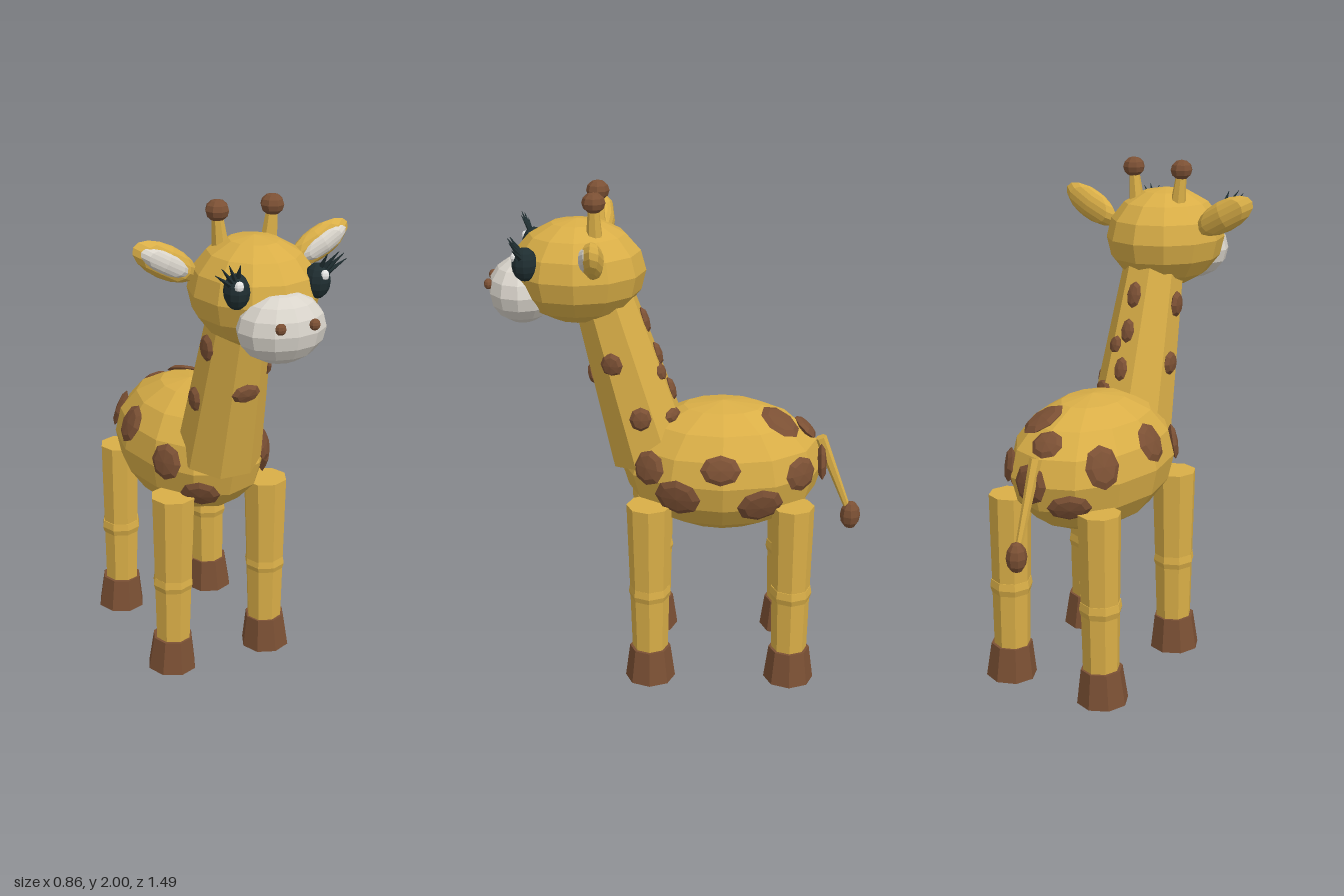
import * as THREE from 'three';

const V = (x, y, z) => new THREE.Vector3(x, y, z);
const UP = V(0, 1, 0);

export function createModel() {
  const model = new THREE.Group();
  model.name = 'giraffe';

  const colour = (name, hex) => {
    const m = new THREE.MeshStandardMaterial({ color: hex });
    m.name = name;
    return m;
  };
  const yellow = colour('yellowCoat', 0xd9ae47);
  const brown = colour('brownPatch', 0x7b5034);
  const cream = colour('creamMuzzle', 0xd9d4cb);
  const dark = colour('darkEye', 0x1f2e31);
  const white = colour('eyeWhite', 0xf0f0ee);

  // Faceted mesh: unshared corners give one normal per face
  const add = (name, geo, mat) => {
    const flat = geo.toNonIndexed();
    flat.computeVertexNormals();
    const mesh = new THREE.Mesh(flat, mat);
    mesh.name = name;
    model.add(mesh);
    return mesh;
  };

  const ball = (name, mat, c, r, w = 12, h = 8) => {
    const mesh = add(name, new THREE.SphereGeometry(1, w, h), mat);
    mesh.position.copy(c);
    mesh.scale.copy(r);
    return mesh;
  };

  // Tapered prism running from a to b
  const rod = (name, mat, a, b, ra, rb, sides = 8, twist = 0) => {
    const d = b.clone().sub(a);
    const geo = new THREE.CylinderGeometry(rb, ra, d.length(), sides).rotateY(twist);
    const mesh = add(name, geo, mat);
    mesh.position.copy(a).add(b).multiplyScalar(0.5);
    mesh.quaternion.setFromUnitVectors(UP, d.normalize());
    return mesh;
  };

  // Flat patch facing along n: half width w, half height h
  const patch = (p, n, w, h) => {
    const mesh = add('patch', new THREE.SphereGeometry(1, 8, 4).rotateX(Math.PI / 2), brown);
    mesh.position.copy(p);
    mesh.lookAt(p.clone().add(n));
    mesh.scale.set(w, h, 0.02);
  };

  // Body
  const bodyC = V(0, 0.875, -0.175), bodyR = V(0.29, 0.268, 0.41);
  ball('body', yellow, bodyC, bodyR);

  // Neck
  const neckA = V(0, 0.92, 0.105), neckB = V(0, 1.6, 0.3);
  rod('neck', yellow, neckA, neckB, 0.17, 0.12, 8, Math.PI / 8);

  // Body patches: x, y, z, half width, half height
  [
    [0.25, 0.83, 0.0, 0.095, 0.08],
    [0.28, 0.955, -0.165, 0.08, 0.06],
    [0.25, 0.8, -0.32, 0.095, 0.08],
    [0.19, 0.905, -0.49, 0.075, 0.07],
    [0.083, 1.09, -0.41, 0.075, 0.09],
    [-0.01, 1.03, -0.52, 0.065, 0.06],
    [0.02, 0.885, -0.58, 0.075, 0.08],
    [-0.12, 0.8, -0.53, 0.085, 0.06],
    [-0.21, 0.95, -0.44, 0.07, 0.085],
    [-0.265, 0.985, -0.175, 0.075, 0.08],
    [-0.225, 0.91, 0.09, 0.07, 0.075],
    [0.2, 0.93, 0.13, 0.075, 0.07],
    [-0.115, 0.785, 0.18, 0.08, 0.07],
  ].forEach(([x, y, z, w, h]) => {
    const d = V(x, y, z).sub(bodyC).divide(bodyR).normalize();
    patch(d.clone().multiply(bodyR).multiplyScalar(0.985).add(bodyC), d.divide(bodyR).normalize(), w, h);
  });

  // Neck patches: height, angle round from the front, half width, half height
  const axis = neckB.clone().sub(neckA).normalize();
  const fore = V(1, 0, 0).cross(axis);
  [
    [1.29, 0, 0.06, 0.042],
    [1.34, 75, 0.045, 0.05],
    [1.11, 95, 0.045, 0.05],
    [1.07, 150, 0.05, 0.03],
    [1.44, 180, 0.032, 0.055],
    [1.3, 180, 0.03, 0.05],
    [1.24, 160, 0.03, 0.04],
    [1.15, 180, 0.03, 0.05],
    [1.43, -85, 0.045, 0.055],
    [1.2, -90, 0.045, 0.05],
  ].forEach(([y, deg, w, h]) => {
    const t = (y - neckA.y) / (neckB.y - neckA.y), a = deg * Math.PI / 180;
    const out = V(Math.sin(a), 0, 0).addScaledVector(fore, Math.cos(a));
    const r = (0.17 - 0.05 * t) * 0.94;
    patch(neckA.clone().lerp(neckB, t).addScaledVector(out, r), out, w, h);
  });

  // Head, muzzle
  ball('head', yellow, V(0, 1.676, 0.388), V(0.236, 0.202, 0.262));
  ball('muzzle', cream, V(0, 1.6, 0.605), V(0.168, 0.13, 0.133));

  for (const s of [1, -1]) {
    // Legs with knee ring and hoof
    for (const [z, r] of [[0.115, 0.09], [-0.455, 0.084]]) {
      rod('leg', yellow, V(s * 0.211, 0.12, z), V(s * 0.205, 0.775, z), 0.072, r);
      rod('kneeLower', yellow, V(s * 0.209, 0.365, z), V(s * 0.209, 0.39, z), 0.078, 0.085);
      rod('kneeUpper', yellow, V(s * 0.209, 0.39, z), V(s * 0.209, 0.42, z), 0.085, 0.08);
      rod('hoof', brown, V(s * 0.217, 0, z), V(s * 0.213, 0.14, z), 0.102, 0.083);
    }

    // Horns
    rod('horn', yellow, V(s * 0.092, 1.78, 0.315), V(s * 0.11, 1.95, 0.315), 0.036, 0.02, 7);
    ball('hornTip', brown, V(s * 0.11, 1.96, 0.315), V(0.045, 0.04, 0.045), 8, 6);

    // Ears
    const ear = ball('ear', yellow, V(s * 0.31, 1.793, 0.307), V(0.137, 0.062, 0.042), 8, 8);
    ear.rotation.z = s * 0.5;
    const inner = ball('innerEar', cream, V(s * 0.318, 1.795, 0.332), V(0.105, 0.04, 0.026), 8, 8);
    inner.rotation.z = s * 0.5;

    // Eyes, highlights and lashes
    ball('eye', dark, V(s * 0.158, 1.738, 0.573), V(0.047, 0.065, 0.05), 10, 8);
    ball('eyeHighlight', white, V(s * 0.166, 1.765, 0.61), V(0.018, 0.02, 0.014), 8, 6);
    [[0.255, 1.815, 0.605], [0.237, 1.84, 0.617], [0.212, 1.85, 0.625], [0.168, 1.845, 0.622]]
      .forEach(([x, y, z], i) => rod('lash', dark, V(s * (0.185 - i * 0.008), 1.765 + i * 0.006, 0.585),
        V(s * x, y, z), 0.012, 0.001, 5));

    // Nostrils
    ball('nostril', brown, V(s * 0.066, 1.635, 0.728), V(0.021, 0.021, 0.017), 8, 6);
  }

  // Tail
  rod('tail', yellow, V(0, 0.985, -0.57), V(0, 0.65, -0.7), 0.024, 0.012, 6);
  ball('tailTuft', brown, V(0, 0.64, -0.704), V(0.04, 0.061, 0.042), 8, 6);

  return model;
}
